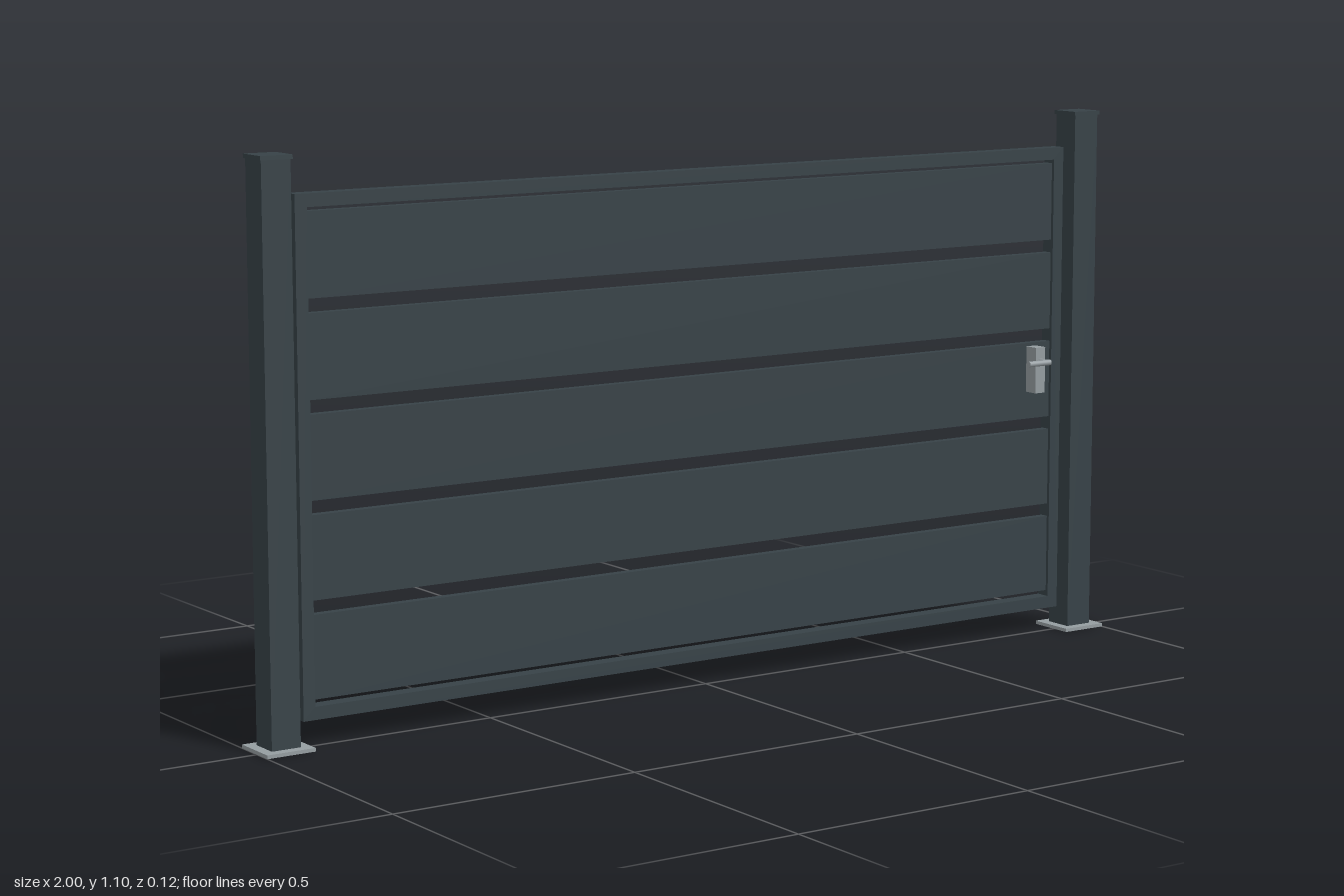
import * as THREE from 'three';

const coating = new THREE.MeshStandardMaterial({ name: 'anthracite coating', color: 0x374247 });
const steel = new THREE.MeshStandardMaterial({ name: 'brushed steel', color: 0x959da1 });

const ZC = -0.009; // depth centre of posts
const ZG = -0.012; // depth centre of the gate leaf

function add(parent, name, geometry, material, x, y, z) {
  const mesh = new THREE.Mesh(geometry, material);
  mesh.name = name;
  mesh.position.set(x, y, z);
  parent.add(mesh);
  return mesh;
}

// Box given by its limits on each axis
function block(parent, name, material, [x0, x1], [y0, y1], [z0, z1]) {
  return add(parent, name, new THREE.BoxGeometry(x1 - x0, y1 - y0, z1 - z0), material,
    (x0 + x1) / 2, (y0 + y1) / 2, (z0 + z1) / 2);
}

// Square post with foot plate and cap
function createPost(name, x) {
  const post = new THREE.Group();
  post.name = name;
  const square = (part, material, w, y0, y1) =>
    block(post, part, material, [x - w / 2, x + w / 2], [y0, y1], [ZC - w / 2, ZC + w / 2]);
  square('basePlate', steel, 0.1, 0, 0.007);
  square('postTube', coating, 0.06, 0.007, 1.092);
  square('postCap', coating, 0.066, 1.092, 1.1);
  return post;
}

// Gate leaf: hollow rectangular frame with five broad slats
function createLeaf() {
  const leaf = new THREE.Group();
  leaf.name = 'gateLeaf';
  const rect = (path, x, y0, y1) => {
    path.moveTo(-x, y0);
    path.lineTo(x, y0);
    path.lineTo(x, y1);
    path.lineTo(-x, y1);
    path.closePath();
    return path;
  };
  const outline = rect(new THREE.Shape(), 0.904, 0.049, 1.026);
  outline.holes.push(rect(new THREE.Path(), 0.879, 0.074, 1.001));
  const depth = 0.031;
  add(leaf, 'gateFrame', new THREE.ExtrudeGeometry(outline, { depth, bevelEnabled: false }),
    coating, 0, 0, ZG - depth / 2);
  for (let i = 0; i < 5; i++) {
    const y = 0.166 + i * 0.1868;
    block(leaf, 'slat' + (i + 1), coating, [-0.879, 0.879], [y - 0.08, y + 0.08], [ZG - 0.009, ZG + 0.009]);
  }
  return leaf;
}

// Lock plate with a lever on the front
function createHandle() {
  const handle = new THREE.Group();
  handle.name = 'handle';
  block(handle, 'lockPlate', steel, [0.817, 0.842], [0.517, 0.613], [ZG + 0.009, 0.028]);
  add(handle, 'leverNeck', new THREE.CylinderGeometry(0.006, 0.006, 0.026, 16), steel, 0.829, 0.584, 0.04)
    .rotation.x = Math.PI / 2;
  add(handle, 'lever', new THREE.CylinderGeometry(0.006, 0.006, 0.057, 16), steel, 0.8065, 0.584, 0.052)
    .rotation.z = Math.PI / 2;
  return handle;
}

export function createModel() {
  const gate = new THREE.Group();
  gate.name = 'gardenGate';
  gate.add(createPost('hingePost', -0.95), createPost('latchPost', 0.95), createLeaf(), createHandle());

  // Hinges between the post and the leaf
  for (const [name, y] of [['lowerHinge', 0.2], ['upperHinge', 0.872]]) {
    block(gate, name, steel, [-0.921, -0.903], [y - 0.033, y + 0.033], [-0.049, -0.018]);
  }
  return gate;
}
